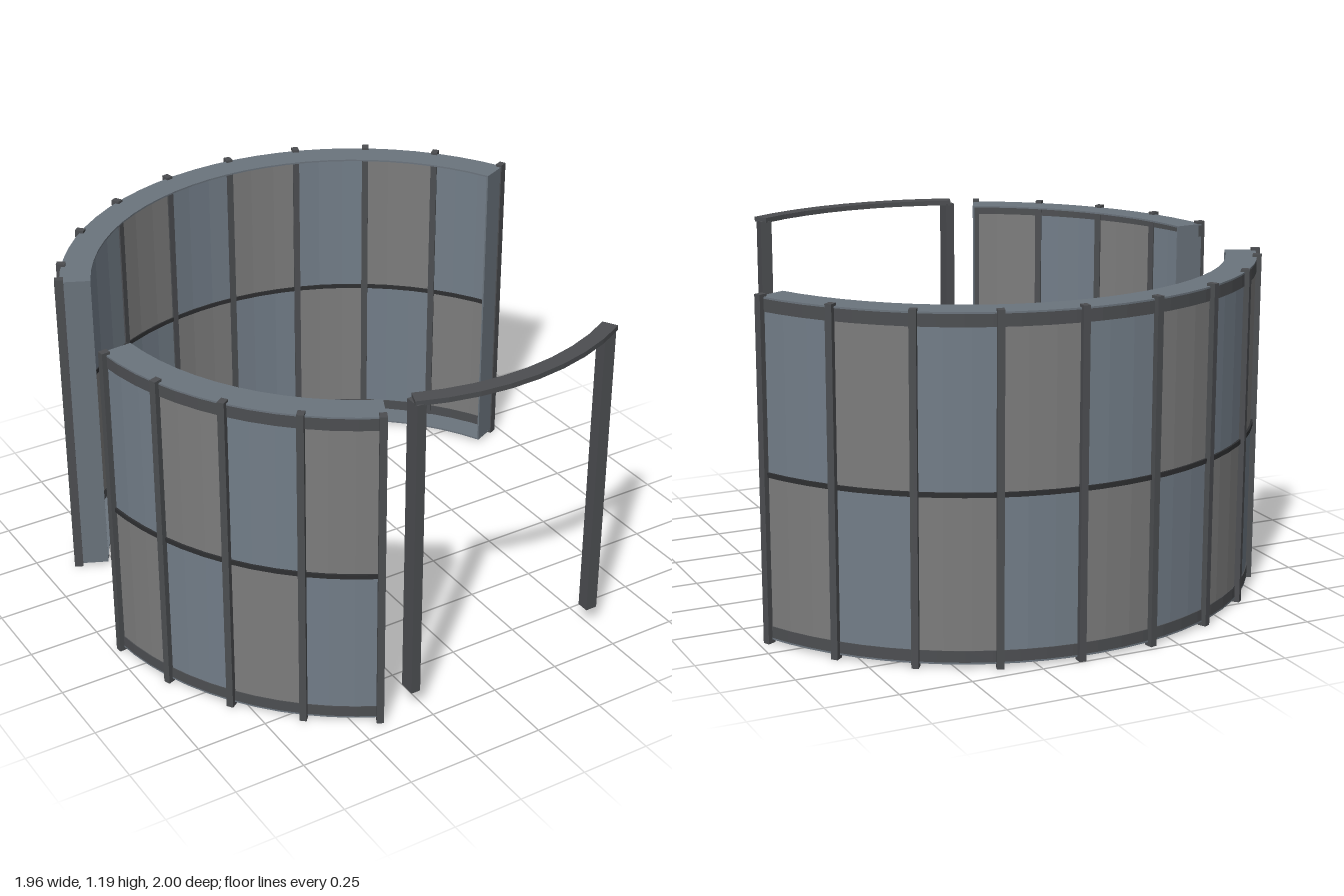
import * as THREE from 'three';

const RAD = Math.PI / 180;
const mat = (color) => {
  const m = new THREE.MeshStandardMaterial({ flatShading: true });
  m.color.set(color);
  return m;
};
const slate = mat(0x6b747d), dark = mat(0x4c4e51), black = mat(0x2e2f31);
const glass = [mat(0x7c7c7c), mat(0x727d88)];

// Curved block between two angles (degrees), two radii and two heights
function arcBlock(name, a0, a1, r0, r1, y0, y1, material, step = 5) {
  const n = Math.max(1, Math.round(Math.abs(a1 - a0) / step));
  const pts = [];
  const add = (r, i) => {
    const a = (a0 + (a1 - a0) * i / n) * RAD;
    pts.push(new THREE.Vector2(r * Math.cos(a), -r * Math.sin(a)));
  };
  for (let i = 0; i <= n; i++) add(r1, i);
  for (let i = n; i >= 0; i--) add(r0, i);
  const geo = new THREE.ExtrudeGeometry(new THREE.Shape(pts), { depth: y1 - y0, bevelEnabled: false });
  geo.rotateX(-Math.PI / 2).translate(0, y0, 0);
  const mesh = new THREE.Mesh(geo, material);
  mesh.name = name;
  return mesh;
}

// Upright box at a polar position, turned to face the centre
function radialBox(name, angle, r0, r1, width, y0, y1, material) {
  const mesh = new THREE.Mesh(new THREE.BoxGeometry(r1 - r0, y1 - y0, width), material);
  const a = angle * RAD, r = (r0 + r1) / 2;
  mesh.position.set(r * Math.cos(a), (y0 + y1) / 2, r * Math.sin(a));
  mesh.rotation.y = -a;
  mesh.name = name;
  return mesh;
}

const IN = 0.908, OUT = 1.015, BOTTOM = 0.013, TOP = 1.166, MID = 0.579;

// Glazed wall: open tray of plates, with panes and posts on the outer side
function curvedWall(name, a0, a1, posts) {
  const wall = new THREE.Group();
  wall.name = name;
  wall.add(
    arcBlock('topPlate', a0, a1, IN, OUT, TOP - 0.006, TOP, slate),
    arcBlock('bottomPlate', a0, a1, IN, OUT, BOTTOM, BOTTOM + 0.006, slate),
    arcBlock('topRail', a0, a1, OUT - 0.012, OUT, 1.118, TOP - 0.006, dark),
    arcBlock('bottomRail', a0, a1, OUT - 0.012, OUT, BOTTOM + 0.006, 0.058, dark),
    arcBlock('middleRail', a0, a1, OUT - 0.014, OUT + 0.004, MID - 0.008, MID + 0.008, black));
  const inset = Math.sign(a1 - a0) * 0.2;
  for (const a of [a0 + inset, a1 - inset])
    wall.add(radialBox('endPlate', a, IN, OUT, 0.006, BOTTOM, TOP, slate));
  for (const a of posts)
    wall.add(radialBox('post', a, 1.0, 1.031, 0.024, 0, 1.175, dark));
  // Two rows of panes in alternating tints
  for (let i = 0; i < posts.length - 1; i++) {
    [[0.058, MID], [MID, 1.118]].forEach(([y0, y1], row) => {
      wall.add(arcBlock('pane', posts[i], posts[i + 1], OUT - 0.009, OUT - 0.003, y0, y1, glass[(i + row) % 2]));
    });
  }
  return wall;
}

// Upright of the doorway, given by its plan rectangle
function doorPost(x0, x1, z0, z1) {
  const mesh = new THREE.Mesh(new THREE.BoxGeometry(x1 - x0, 1.105, z1 - z0), dark);
  mesh.position.set((x0 + x1) / 2, 0.068 + 1.105 / 2, (z0 + z1) / 2);
  mesh.name = 'doorPost';
  return mesh;
}

export function createModel() {
  const model = new THREE.Group();
  model.name = 'curvedEnclosure';
  const cx = 0.045, cz = 0.03;

  const walls = new THREE.Group();
  walls.name = 'ring';
  walls.position.set(cx, 0, cz);
  const backPosts = [205.6];
  for (let i = 0; i < 9; i++) backPosts.push(212.3 + 15.28 * i);
  const sidePosts = [];
  for (let i = 0; i < 5; i++) sidePosts.push(174.2 - 14.28 * i);
  walls.add(curvedWall('backWall', 205, 335, backPosts));
  walls.add(curvedWall('rightWall', 175, 116.5, sidePosts));

  // Doorway: curved lintel on two posts
  walls.add(arcBlock('lintel', 59.8, 111, 0.912, 0.967, 1.168, 1.186, dark, 6.4));
  model.add(walls);
  model.add(doorPost(-0.299, -0.265, 0.884, 0.942), doorPost(0.481, 0.524, 0.822, 0.867));
  return model;
}
